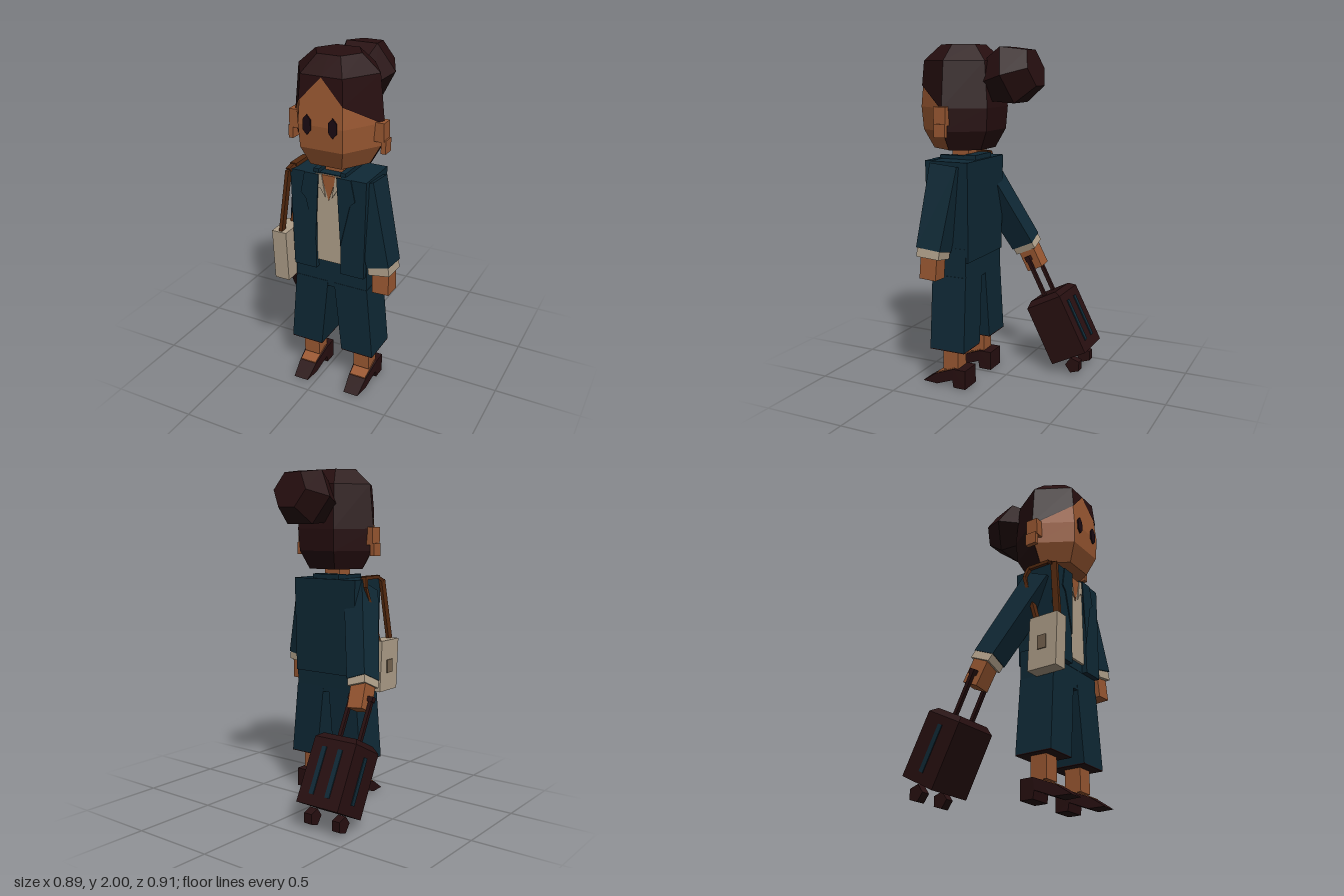
import * as THREE from 'three';

const mat = (name, color, side = THREE.FrontSide) => {
  const m = new THREE.MeshStandardMaterial({ color, side });
  m.name = name;
  return m;
};

export function createModel() {
  const skin = mat('skin', 0x9a5832), navy = mat('navyCloth', 0x0f2936);
  const dark = mat('darkMaroon', 0x270f10, THREE.DoubleSide), cream = mat('cream', 0xb0a08a);
  const leather = mat('leatherStrap', 0x54290f), clasp = mat('claspTan', 0x75634f);
  const eyeMat = mat('eyeDark', 0x1a0a12);
  const model = new THREE.Group();
  const CX = 0.077, CZ = 0.232;

  const add = (name, geo, material, parent = model) => {
    const flat = geo.index ? geo.toNonIndexed() : geo;
    flat.computeVertexNormals();
    const mesh = new THREE.Mesh(flat, material);
    mesh.name = name;
    parent.add(mesh);
    return mesh;
  };
  // Six-sided block between two horizontal rectangles [x0, x1, z0, z1]
  const block = (name, material, y0, y1, low, high = low, parent = model) => {
    const g = new THREE.BoxGeometry(1, 1, 1), p = g.attributes.position;
    for (let i = 0; i < p.count; i++) {
      const r = p.getY(i) > 0 ? high : low;
      p.setXYZ(i, p.getX(i) > 0 ? r[1] : r[0], p.getY(i) > 0 ? y1 : y0, p.getZ(i) > 0 ? r[3] : r[2]);
    }
    return add(name, g, material, parent);
  };
  // Tapered box running from point a to point b
  const limb = (name, material, a, b, sa, sb = sa) => {
    const A = new THREE.Vector3(...a), B = new THREE.Vector3(...b), d = A.clone().sub(B), h = d.length() / 2;
    const m = block(name, material, -h, h, [-sb[0] / 2, sb[0] / 2, -sb[1] / 2, sb[1] / 2],
      [-sa[0] / 2, sa[0] / 2, -sa[1] / 2, sa[1] / 2]);
    m.quaternion.setFromUnitVectors(new THREE.Vector3(0, 1, 0), d.normalize());
    m.position.copy(A.add(B).multiplyScalar(0.5));
    return m;
  };
  // Flat polygon facing +z
  const plate = (name, material, pts, z, depth = 0.008) => {
    const shape = new THREE.Shape(pts.map(([x, y]) => new THREE.Vector2(x, y)));
    const m = add(name, new THREE.ExtrudeGeometry(shape, { depth, bevelEnabled: false }), material);
    m.position.z = z;
    return m;
  };

  // Head: six-sided rings, shared by face and hair
  const profile = [[1.41, 0.19], [1.52, 0.255], [1.65, 0.267], [1.91, 0.24], [2.0, 0.135]];
  const radiusAt = (y) => {
    let i = 0;
    while (i < profile.length - 2 && y > profile[i + 1][0]) i++;
    const [[ya, ra], [yb, rb]] = [profile[i], profile[i + 1]];
    return ra + (rb - ra) * (y - ya) / (yb - ya);
  };
  const headShell = (columns, ys, k) => {
    const pos = [], idx = [], n = ys.length;
    for (const [deg, low] of columns) {
      const a = deg * Math.PI / 180;
      for (const yy of ys) {
        const y = Math.max(yy, low), r = radiusAt(y) * k * (deg === 90 ? 0.866 : 1);
        pos.push(CX + r * Math.cos(a), y, CZ + r * Math.sin(a) * 0.935);
      }
    }
    const base = columns.length * n;
    pos.push(CX, ys[0], CZ, CX, ys[n - 1], CZ);
    for (let c = 0; c < columns.length - 1; c++) {
      for (let j = 0; j < n - 1; j++) {
        const p = c * n + j, q = p + n;
        idx.push(p, p + 1, q, q, p + 1, q + 1);
      }
      idx.push(c * n + n - 1, base + 1, (c + 1) * n + n - 1);
      if (columns[c][1] < 1.5 && columns[c + 1][1] < 1.5) idx.push(c * n, c * n + n, base);
    }
    const g = new THREE.BufferGeometry();
    g.setAttribute('position', new THREE.Float32BufferAttribute(pos, 3));
    g.setIndex(idx);
    return g;
  };
  add('head', headShell([0, 60, 120, 180, 240, 300, 360].map((d) => [d, 1.41]), [1.411, 1.52, 1.65, 1.91], 0.975), skin);
  add('hair', headShell([[0, 1.64], [60, 1.77], [90, 1.905], [120, 1.77], [180, 1.64],
    [180, 1.41], [240, 1.41], [300, 1.41], [360, 1.41]], [1.41, 1.52, 1.65, 1.91, 2.0], 1), dark);

  // Hair bun: hexagonal barrel leaning back
  const bun = add('hairBun', new THREE.LatheGeometry(
    [[0, -0.14], [0.13, -0.14], [0.185, 0], [0.118, 0.14], [0, 0.14]].map(([r, y]) => new THREE.Vector2(r, y)),
    6, Math.PI / 2), dark);
  bun.position.set(CX, 1.832, -0.085);
  bun.quaternion.setFromUnitVectors(new THREE.Vector3(0, 1, 0), new THREE.Vector3(0, 0.275, -0.961).normalize());

  // Face details and ears
  for (const s of [-1, 1]) {
    const ex = CX + s * 0.075;
    plate('eye', eyeMat, [[0, -0.055], [0.023, -0.028], [0.023, 0.028], [0, 0.055], [-0.023, 0.028], [-0.023, -0.028]]
      .map(([x, y]) => [ex + x, 1.653 + y]), 0.442, 0.008);
    const ear = [CX + s * 0.255 - 0.028, CX + s * 0.255 + 0.028, 0.2, 0.275];
    block('ear', skin, 1.555, 1.66, ear);
    block('earring', skin, 1.49, 1.565, [CX + s * 0.278 - 0.014, CX + s * 0.278 + 0.014, 0.2, 0.27]);
  }
  block('neck', skin, 1.3, 1.43, [0.02, 0.132, 0.18, 0.285]);

  // Jacket, shirt and collar
  block('jacketBody', navy, 0.77, 1.35, [-0.14, 0.295, 0.1, 0.335], [-0.155, 0.305, 0.095, 0.335]);
  block('shirt', cream, 0.82, 1.345, [0, 0.155, 0.3, 0.35]);
  plate('neckline', skin, [[0.03, 1.347], [0.075, 1.2], [0.125, 1.347]], 0.346);
  block('jacketCollar', navy, 1.33, 1.378, [-0.022, 0.174, 0.11, 0.185]);
  for (const s of [-1, 1]) {
    const X = (x) => CX + s * x;
    const span = (a, b) => [Math.min(X(a), X(b)), Math.max(X(a), X(b))];
    block('jacketFront', navy, 0.77, 1.352, [...span(0.077, 0.217), 0.33, 0.366], [...span(0.077, 0.23), 0.33, 0.366]);
    plate('lapel', navy, [[0.055, 1.352], [0.14, 1.352], [0.165, 1.23], [0.135, 1.2], [0.077, 0.95]]
      .map(([x, y]) => [X(x), y]), 0.365, 0.007);
    plate('shirtCollar', cream, [[0.042, 1.35], [0.08, 1.35], [0.08, 1.26], [0.052, 1.27], [0.02, 1.22]]
      .map(([x, y]) => [X(x), y]), 0.352, 0.007);
    block('collarSide', navy, 1.33, 1.372, [...span(0.066, 0.097), 0.11, 0.345]);
  }

  // Trousers, shins and shoes
  block('hips', navy, 0.65, 0.85, [-0.15, 0.298, 0.115, 0.333]);
  const sideExtrude = (name, material, pts, cx, width, toe) => {
    const g = new THREE.ExtrudeGeometry(new THREE.Shape(pts.map(([z, y]) => new THREE.Vector2(z, y))),
      { depth: width, bevelEnabled: false });
    g.translate(0, 0, -width / 2).rotateY(-Math.PI / 2);
    const p = g.attributes.position;
    for (let i = 0; i < p.count; i++) {
      p.setX(i, p.getX(i) * (1 - toe * Math.max(0, (p.getZ(i) - 0.2) / 0.22)));
    }
    add(name, g, material).position.x = cx;
  };
  for (const s of [-1, 1]) {
    const span = (a, b) => s > 0 ? [0.075 + a, 0.075 + b] : [0.075 - b, 0.075 - a];
    const hem = [...span(0.065, 0.265), 0.11, 0.335];
    block('trouserLeg', navy, 0.24, 0.68, hem, [...span(0.02, 0.226), 0.115, 0.335]);
    block('trouserOpening', dark, 0.235, 0.24, hem);
    const fx = 0.075 + s * 0.168;
    block('shin', skin, 0.1, 0.26, [fx - 0.05, fx + 0.05, 0.175, 0.275]);
    sideExtrude('shoe', dark, [[0.12, 0], [0.2, 0], [0.207, 0.045], [0.32, 0], [0.42, 0], [0.33, 0.062],
      [0.2, 0.115], [0.12, 0.115]], fx, 0.134, 0.32);
    sideExtrude('instep', skin, [[0.2, 0.09], [0.325, 0.05], [0.325, 0.069], [0.2, 0.12]], fx, 0.11, 0.2);
  }

  // Left arm hanging, right arm reaching back to the case
  limb('leftSleeve', navy, [0.262, 1.32, 0.238], [0.375, 0.85, 0.28], [0.135, 0.175], [0.135, 0.155]);
  limb('leftCuff', cream, [0.374, 0.855, 0.279], [0.382, 0.805, 0.282], [0.125, 0.145]);
  limb('leftHand', skin, [0.38, 0.82, 0.28], [0.386, 0.685, 0.288], [0.1, 0.105]);
  limb('rightSleeve', navy, [-0.1, 1.29, 0.235], [-0.285, 0.79, 0], [0.135, 0.17], [0.125, 0.15]);
  limb('rightCuff', cream, [-0.284, 0.795, 0.002], [-0.298, 0.752, -0.018], [0.118, 0.14]);
  limb('rightHand', skin, [-0.295, 0.77, -0.01], [-0.312, 0.628, -0.075], [0.1, 0.105]);

  // Shoulder bag and strap
  block('shoulderBag', cream, 0.67, 0.98, [-0.248, -0.158, 0.23, 0.412], [-0.248, -0.158, 0.25, 0.43]);
  block('bagClasp', clasp, 0.78, 0.86, [-0.255, -0.247, 0.3, 0.355]);
  const strap = [[-0.2, 0.97, 0.4], [-0.165, 1.34, 0.365], [-0.155, 1.36, 0.33], [-0.155, 1.36, 0.19],
    [-0.17, 1.3, 0.17], [-0.2, 0.97, 0.27]];
  for (let i = 0; i < strap.length - 1; i++) limb('bagStrap', leather, strap[i], strap[i + 1], [0.04, 0.02]);

  // Rolling suitcase, tilted towards the hand
  const suitcase = new THREE.Group();
  suitcase.name = 'suitcase';
  suitcase.position.set(-0.302, 0.285, -0.258);
  suitcase.rotation.x = 27 * Math.PI / 180;
  model.add(suitcase);
  const full = [-0.142, 0.142, -0.12, 0.12];
  block('caseBody', dark, -0.2, 0.178, full, full, suitcase);
  block('caseTop', dark, 0.178, 0.21, full, [-0.112, 0.112, -0.09, 0.09], suitcase);
  for (const x of [-0.052, 0.057]) {
    block('caseStripe', navy, -0.14, 0.13, [x - 0.015, x + 0.015, -0.126, -0.119], undefined, suitcase);
  }
  block('caseSideStripe', navy, -0.14, 0.13, [-0.147, -0.141, -0.015, 0.015], undefined, suitcase);
  for (const x of [-0.072, 0.068]) {
    block('handleRod', dark, 0.19, 0.47, [x - 0.011, x + 0.011, -0.003, 0.019], undefined, suitcase);
  }
  block('handleGrip', dark, 0.445, 0.475, [-0.088, 0.082, -0.008, 0.024], undefined, suitcase);
  for (const x of [-0.4, -0.205]) {
    const wheel = add('wheel', new THREE.CylinderGeometry(0.05, 0.05, 0.052, 5).rotateZ(Math.PI / 2), dark);
    wheel.position.set(x, 0.058, -0.37);
  }
  return model;
}
